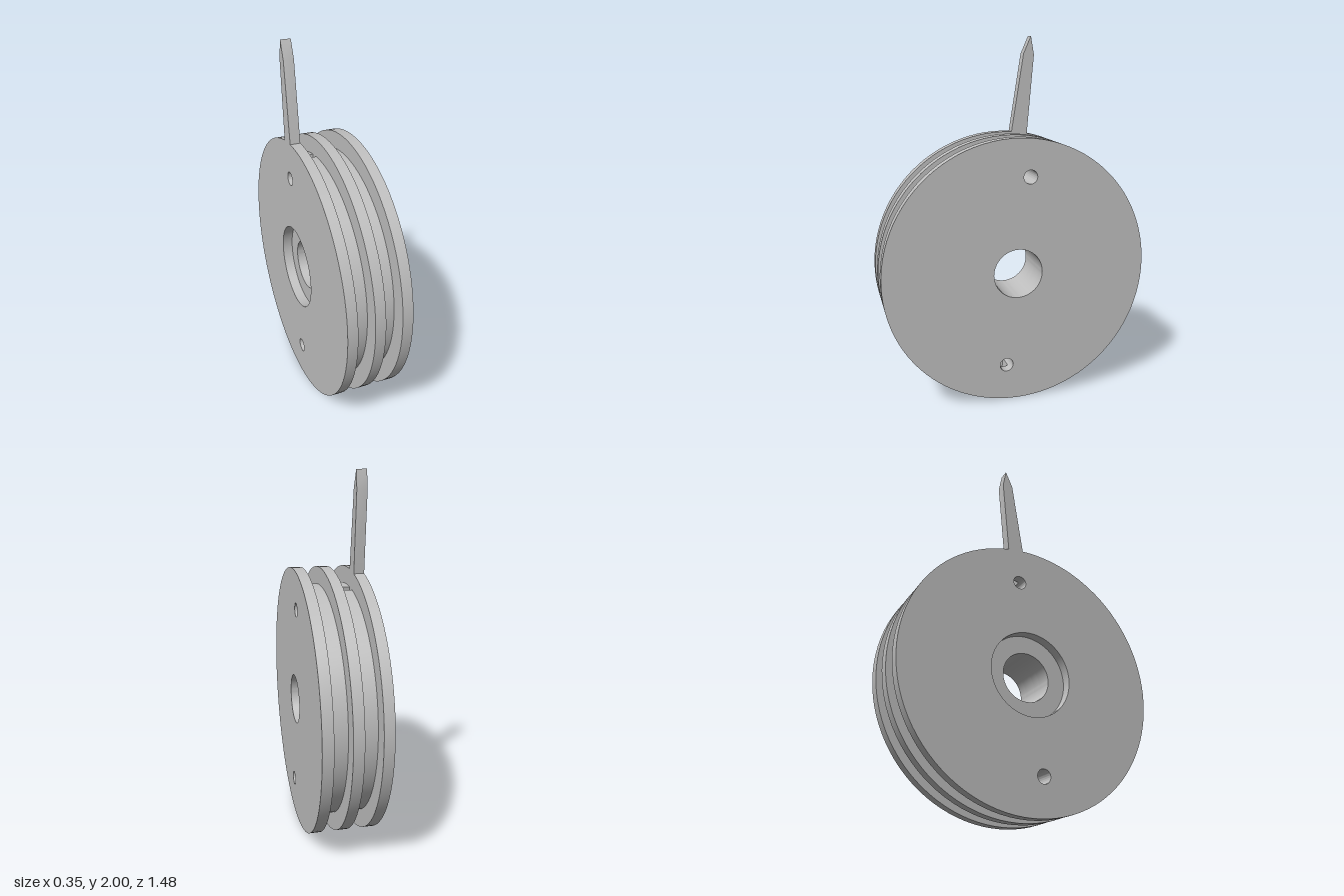
import * as THREE from 'three';
import { toCreasedNormals } from 'three/addons/utils/BufferGeometryUtils.js';

const R = 0.741, HUB_R = 0.645, BORE_R = 0.137, RECESS_R = 0.235;
const PIN_R = 0.038, PIN_DIST = 0.536, SLOT_HALF = 0.025;
const TOP = THREE.MathUtils.degToRad(82.8), BOTTOM = TOP + Math.PI;

export function createModel() {
  const model = new THREE.Group();
  model.name = 'pointerPulley';
  const grey = new THREE.MeshStandardMaterial({ color: 0xc0c0c0 });
  grey.name = 'plain grey';

  const circle = (cls, x, y, r) => new cls().absarc(x, y, r, 0, Math.PI * 2, false);
  const pin = (a) => [PIN_DIST * Math.cos(a), PIN_DIST * Math.sin(a)];

  // Profiles lie in the wheel's plane and are extruded along x
  const addLayer = (name, shape, x0, x1, bore, pins) => {
    shape.holes.push(circle(THREE.Path, 0, 0, bore));
    for (const a of pins) shape.holes.push(circle(THREE.Path, ...pin(a), PIN_R));
    const geo = new THREE.ExtrudeGeometry(shape, { depth: x1 - x0, bevelEnabled: false, curveSegments: 48 });
    geo.translate(0, 0, x0).rotateY(Math.PI / 2);
    const mesh = new THREE.Mesh(toCreasedNormals(geo, 0.5), grey);
    mesh.name = name;
    mesh.position.y = R;
    model.add(mesh);
  };

  // Hub disc with a radial slot that opens into one of the pin holes
  const slottedHub = (a) => {
    const d = Math.asin(SLOT_HALF / HUB_R), e = Math.asin(SLOT_HALF / PIN_R);
    const s = new THREE.Shape();
    s.absarc(0, 0, HUB_R, a + d, a - d + Math.PI * 2, false);
    s.absarc(...pin(a), PIN_R, a - e, a + e, true);
    s.closePath();
    return s;
  };

  // Flange outline with the tapered pointer growing out of its rim
  const pointerFlange = new THREE.Shape();
  pointerFlange.absarc(0, 0, R, Math.acos(0.048 / R), Math.acos(0.138 / R) + Math.PI * 2, false);
  pointerFlange.lineTo(0.177, 1.16);
  pointerFlange.lineTo(0.159, 2 - R);
  pointerFlange.lineTo(0.117, 1.165);
  pointerFlange.closePath();

  addLayer('pointerFlange', pointerFlange, -0.177, -0.121, RECESS_R, [TOP, BOTTOM]);
  addLayer('pointerSideHub', slottedHub(TOP), -0.121, -0.029, BORE_R, [BOTTOM]);
  addLayer('middleFlange', circle(THREE.Shape, 0, 0, R), -0.029, 0.028, BORE_R, [TOP, BOTTOM]);
  addLayer('plainSideHub', slottedHub(BOTTOM), 0.028, 0.119, BORE_R, [TOP]);
  addLayer('plainFlange', circle(THREE.Shape, 0, 0, R), 0.119, 0.177, BORE_R, [TOP, BOTTOM]);

  return model;
}
